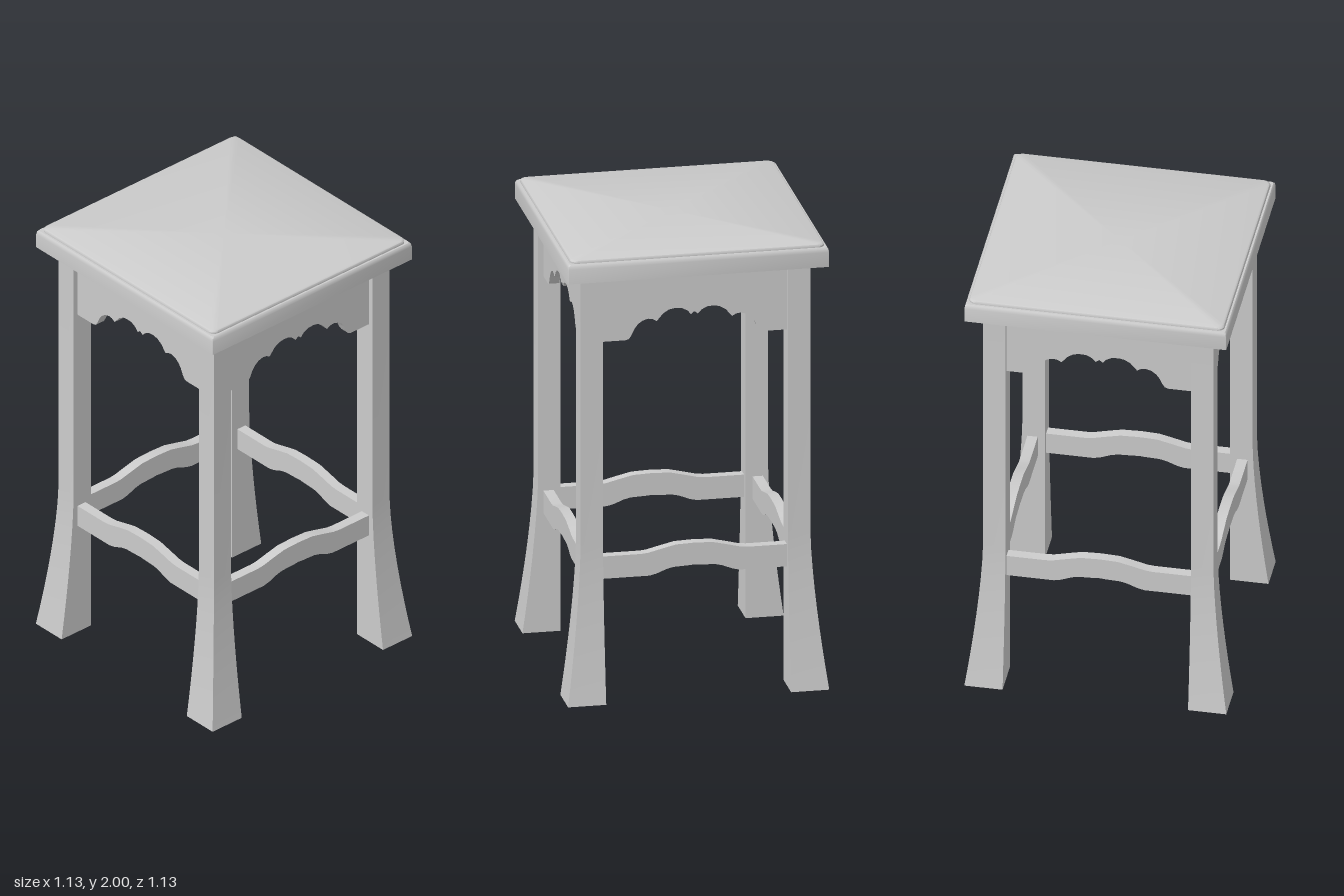
import * as THREE from 'three';
import { toCreasedNormals } from 'three/addons/utils/BufferGeometryUtils.js';

const material = new THREE.MeshStandardMaterial({ color: 0xcccccc });

function addMesh(parent, name, geometry) {
  const mesh = new THREE.Mesh(toCreasedNormals(geometry, 0.6), material);
  mesh.name = name;
  parent.add(mesh);
  return mesh;
}

// Seat: stacked rounded squares, each [half width, corner radius, height]
function seatGeometry() {
  const rings = [
    [0.565, 0.003, 1.9], [0.565, 0.003, 1.965], [0.563, 0.006, 1.978], [0.558, 0.012, 1.985],
    [0.55, 0.03, 1.985], [0.55, 0.03, 1.992], [0.547, 0.029, 1.997], [0.54, 0.026, 2],
  ];
  const steps = 6, count = 4 * (steps + 1);
  const positions = [], index = [];
  for (const [half, radius, y] of rings) {
    for (let c = 0; c < 4; c++) {
      const start = c * Math.PI / 2, mid = start + Math.PI / 4;
      const cx = Math.sign(Math.cos(mid)) * (half - radius);
      const cz = Math.sign(Math.sin(mid)) * (half - radius);
      for (let s = 0; s <= steps; s++) {
        const a = start + (s / steps) * Math.PI / 2;
        positions.push(cx + radius * Math.cos(a), y, cz + radius * Math.sin(a));
      }
    }
  }
  for (let r = 0; r < rings.length - 1; r++) {
    for (let i = 0; i < count; i++) {
      const a = r * count + i, b = r * count + (i + 1) % count;
      index.push(a, a + count, b, b, a + count, b + count);
    }
  }
  // Underside and top
  const bottom = positions.length / 3, top = bottom + 1, last = (rings.length - 1) * count;
  positions.push(0, 1.9, 0, 0, 2, 0);
  for (let i = 0; i < count; i++) {
    const j = (i + 1) % count;
    index.push(bottom, i, j, top, last + j, last + i);
  }
  const geometry = new THREE.BufferGeometry();
  geometry.setAttribute('position', new THREE.Float32BufferAttribute(positions, 3));
  geometry.setIndex(index);
  return geometry;
}

// Leg: straight inner faces, outer faces flaring towards the foot
function legGeometry() {
  const segments = 9;
  const geometry = new THREE.BoxGeometry(1, 1, 1, 1, segments, 1);
  const p = geometry.attributes.position;
  for (let i = 0; i < p.count; i++) {
    const level = Math.round((p.getY(i) + 0.5) * segments);
    const y = level === segments ? 1.9 : level * 0.0875;
    const outer = 0.497 + 0.068 * Math.pow(Math.max(0, 1 - y / 0.7), 1.5);
    p.setXYZ(i, p.getX(i) > 0 ? outer : 0.4, y, p.getZ(i) > 0 ? outer : 0.4);
  }
  return geometry;
}

// Symmetric board between two legs, from right-half edge points listed outwards
function boardGeometry(topEdge, bottomEdge) {
  const mirror = (edge) => [
    ...edge.slice().reverse().map(([x, y]) => new THREE.Vector2(-x, y)),
    ...edge.filter(([x]) => x > 0).map(([x, y]) => new THREE.Vector2(x, y)),
  ];
  const outline = [...mirror(bottomEdge), ...mirror(topEdge).reverse()]
    .filter((v, i, all) => i === 0 || v.distanceTo(all[i - 1]) > 1e-5);
  const geometry = new THREE.ExtrudeGeometry(new THREE.Shape(outline), { depth: 0.045, bevelEnabled: false });
  return geometry.translate(0, 0, 0.43);
}

export function createModel() {
  const stool = new THREE.Group();
  stool.name = 'stool';
  addMesh(stool, 'seat', seatGeometry());

  const leg = legGeometry();
  const apron = boardGeometry(
    [[0.4, 1.9]],
    [[0, 1.71], [0.015, 1.698], [0.03, 1.715], [0.055, 1.728], [0.085, 1.73], [0.11, 1.725],
      [0.135, 1.71], [0.15, 1.692], [0.163, 1.677], [0.18, 1.687], [0.2, 1.69], [0.225, 1.683],
      [0.245, 1.668], [0.26, 1.648], [0.272, 1.622], [0.283, 1.605], [0.298, 1.6], [0.4, 1.6]],
  );
  const stretcher = boardGeometry(
    [[0, 0.67], [0.08, 0.667], [0.14, 0.653], [0.2, 0.638], [0.23, 0.635], [0.4, 0.635]],
    [[0, 0.572], [0.02, 0.57], [0.09, 0.567], [0.12, 0.56], [0.165, 0.542], [0.195, 0.535], [0.4, 0.535]],
  );

  // One leg, apron and stretcher for each side
  ['front', 'left', 'back', 'right'].forEach((side, i) => {
    const group = new THREE.Group();
    group.name = side + 'Side';
    group.rotation.y = i * Math.PI / 2;
    addMesh(group, side + 'Leg', leg);
    addMesh(group, side + 'Apron', apron);
    addMesh(group, side + 'Stretcher', stretcher);
    stool.add(group);
  });
  return stool;
}
